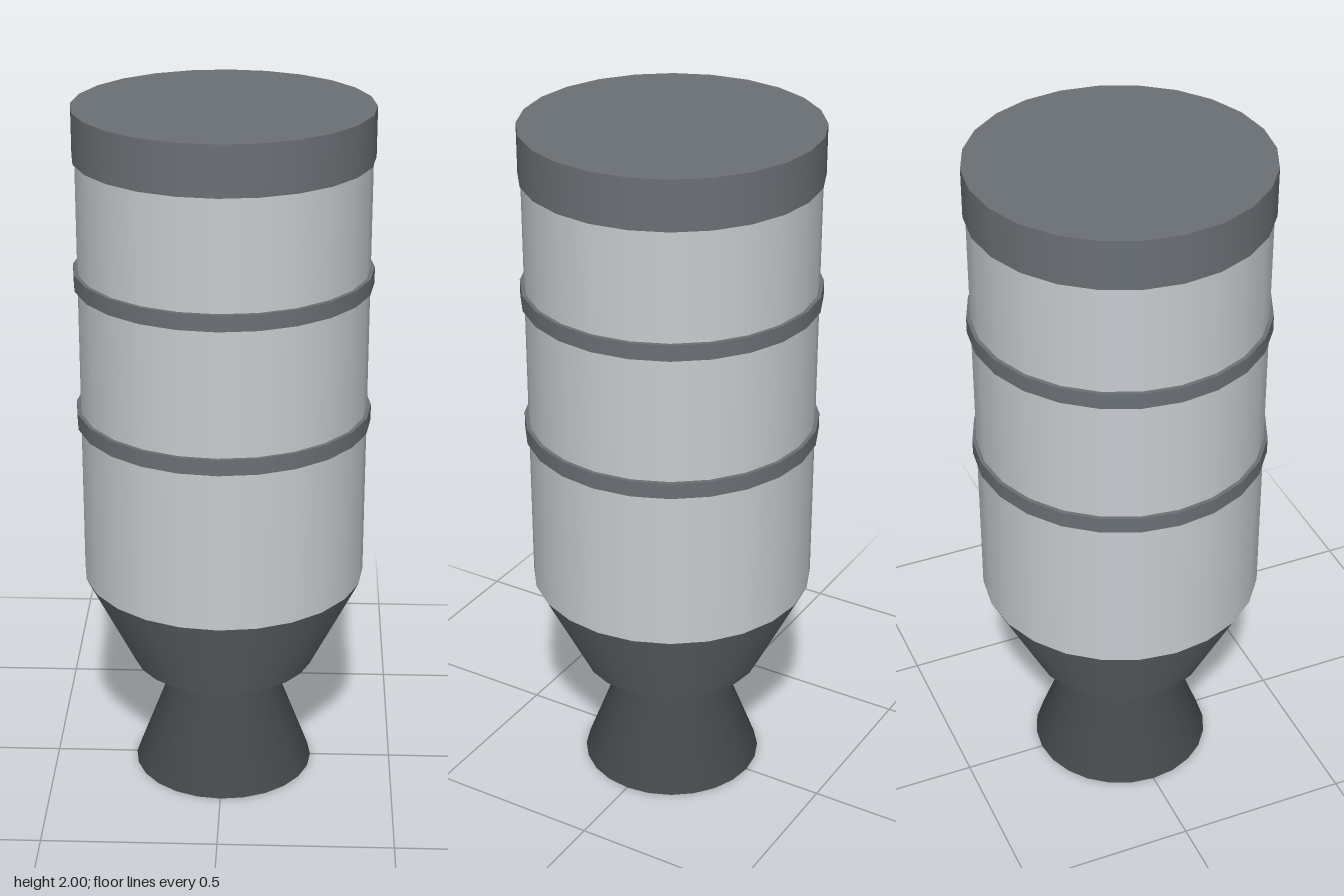
import * as THREE from 'three';

const SEGMENTS = 24;

export function createModel() {
  const model = new THREE.Group();

  const hull = new THREE.MeshStandardMaterial({ color: 0xc8ccd0 });
  const trim = new THREE.MeshStandardMaterial({ color: 0x6b7075 });
  const metal = new THREE.MeshStandardMaterial({ color: 0x454749, side: THREE.DoubleSide });

  // Upright round section between two heights
  function section(name, bottomRadius, topRadius, bottom, top, material, open = false) {
    const geometry = new THREE.CylinderGeometry(topRadius, bottomRadius, top - bottom, SEGMENTS, 1, open);
    const mesh = new THREE.Mesh(geometry, material);
    mesh.name = name;
    mesh.position.y = (bottom + top) / 2;
    model.add(mesh);
  }

  // Tank body and its top cap
  section('tankBody', 0.405, 0.405, 0.63, 1.87, hull);
  section('topCap', 0.412, 0.412, 1.86, 2, trim);

  // Reinforcing bands
  section('lowerBand', 0.416, 0.416, 1.098, 1.144, trim);
  section('upperBand', 0.416, 0.416, 1.504, 1.55, trim);

  // Tapered engine skirt
  section('engineSkirt', 0.265, 0.405, 0.35, 0.63, trim);

  // Open, flared nozzle
  section('nozzle', 0.262, 0.13, 0, 0.35, metal, true);

  return model;
}
